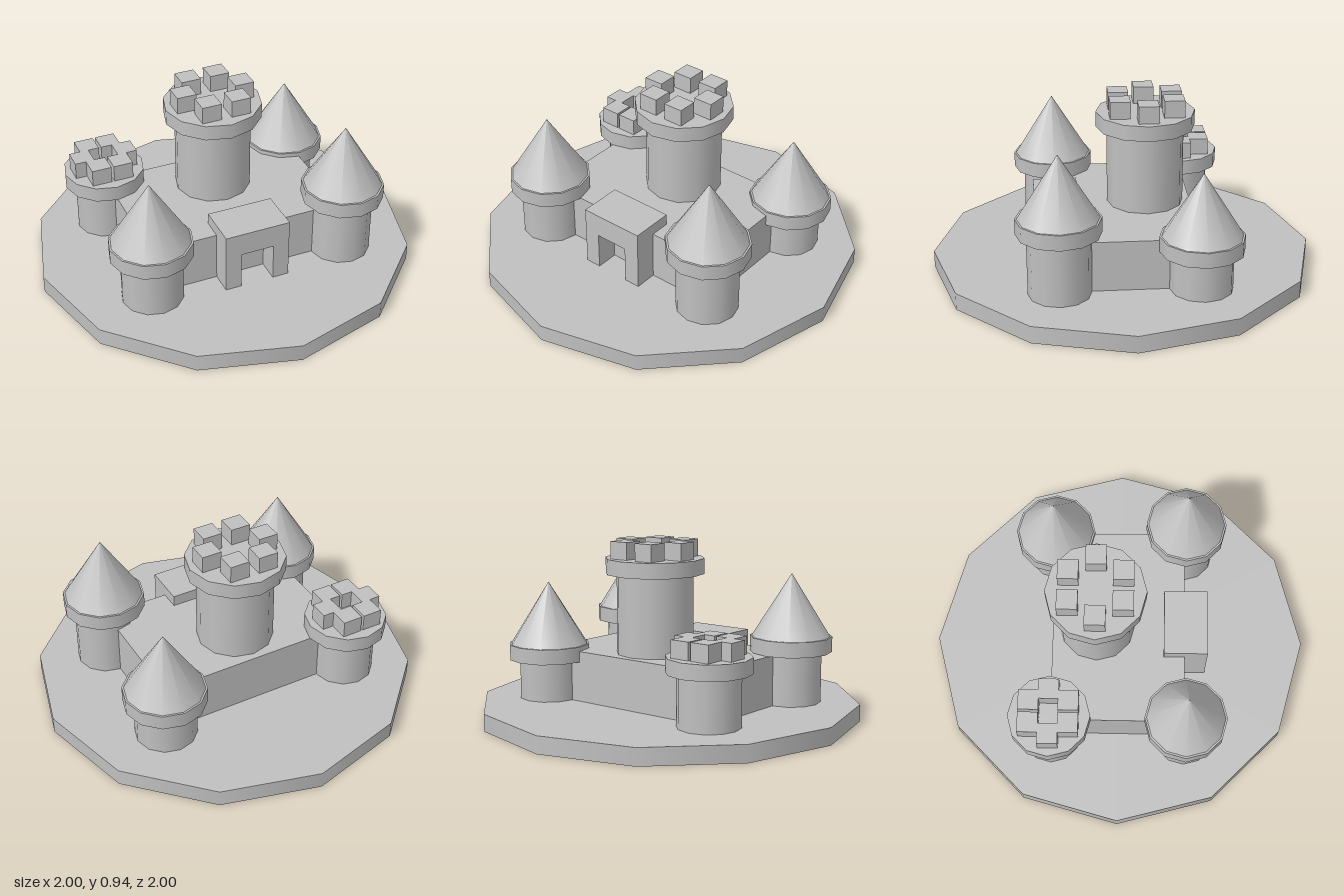
import * as THREE from 'three';

const SIDES = 12;
const BASE_TOP = 0.09;

export function createModel() {
  const model = new THREE.Group();
  model.name = 'castle';
  const stone = new THREE.MeshStandardMaterial({ color: 0xc0c0c0 });
  stone.name = 'stone grey';

  const add = (parent, name, geometry, x, y, z) => {
    const mesh = new THREE.Mesh(geometry, stone);
    mesh.name = name;
    mesh.position.set(x, y, z);
    parent.add(mesh);
    return mesh;
  };
  // Upright drum or cone between two heights
  const drum = (parent, name, rTop, rBottom, y0, y1) =>
    add(parent, name, new THREE.CylinderGeometry(rTop, rBottom, y1 - y0, SIDES), 0, (y0 + y1) / 2, 0);

  // Ring of six square merlons
  const merlons = (parent, radius, y) => {
    for (let i = 0; i < 6; i++) {
      const a = (i * Math.PI) / 3;
      add(parent, 'merlon', new THREE.BoxGeometry(0.105, 0.09, 0.105),
        radius * Math.cos(a), y + 0.045, radius * Math.sin(a));
    }
  };

  // Tower: shaft, wider collar, then a cone roof or merlons
  const tower = (name, { x, z, r, collarR, collarY, roof, merlonR }) => {
    const group = new THREE.Group();
    group.name = name;
    group.position.set(x, 0, z);
    const top = collarY + 0.08;
    drum(group, 'shaft', r, r, BASE_TOP, collarY);
    drum(group, 'collar', collarR, collarR, collarY, top);
    if (roof) drum(group, 'coneRoof', 0, 0.204, top, top + 0.327);
    else merlons(group, merlonR, top);
    model.add(group);
  };

  // Ground plate
  drum(model, 'base', 1, 1, 0, BASE_TOP);

  // Solid walled block
  add(model, 'walls', new THREE.BoxGeometry(1.055, 0.265, 0.7), 0, BASE_TOP + 0.1325, -0.005);

  // Gatehouse with a doorway cut through it
  const gate = new THREE.Shape([
    [-0.175, 0.09], [-0.09, 0.09], [-0.09, 0.29], [0.088, 0.29],
    [0.088, 0.09], [0.175, 0.09], [0.175, 0.415], [-0.175, 0.415],
  ].map(([x, y]) => new THREE.Vector2(x, y)));
  add(model, 'gatehouse', new THREE.ExtrudeGeometry(gate, { depth: 0.23, bevelEnabled: false }), 0, 0, 0.235);

  // Corner towers and central keep
  const corner = { r: 0.16, collarR: 0.214 };
  tower('frontRightTower', { ...corner, x: -0.53, z: 0.35, collarY: 0.357, roof: true });
  tower('frontLeftTower', { ...corner, x: 0.53, z: 0.35, collarY: 0.416, roof: true });
  tower('backLeftTower', { ...corner, x: 0.53, z: -0.357, collarY: 0.298, roof: true });
  tower('backRightTower', { ...corner, x: -0.53, z: -0.357, collarY: 0.357, merlonR: 0.118 });
  tower('keep', { x: 0, z: -0.12, r: 0.2, collarR: 0.257, collarY: 0.77, merlonR: 0.16 });

  return model;
}
